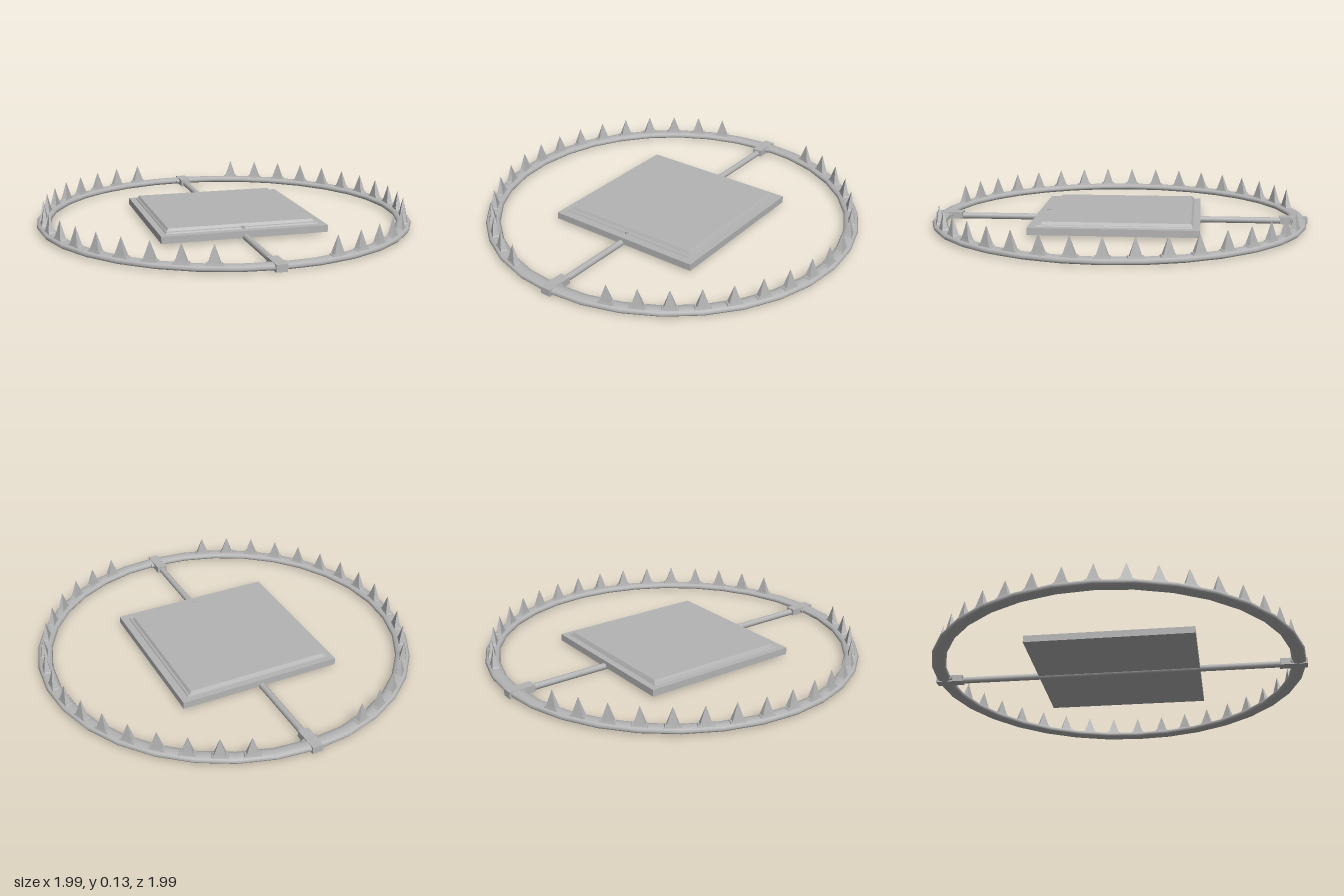
import * as THREE from 'three';

const steel = new THREE.MeshStandardMaterial({ color: 0xb4b4b4 });
steel.name = 'steel';

// Four-sided tapered block: bottom width x depth, top scaled by taper, standing on y = 0
function taperedBlock(width, depth, height, taper) {
  const g = new THREE.CylinderGeometry(Math.SQRT1_2 * taper, Math.SQRT1_2, 1, 4, 1)
    .rotateY(Math.PI / 4)
    .scale(width, height, depth)
    .translate(0, height / 2, 0)
    .toNonIndexed();
  g.computeVertexNormals();
  return g;
}

export function createModel() {
  const model = new THREE.Group();
  model.name = 'jawTrap';

  const add = (parent, name, geometry, x = 0, y = 0, z = 0) => {
    const mesh = new THREE.Mesh(geometry, steel);
    mesh.name = name;
    mesh.position.set(x, y, z);
    parent.add(mesh);
    return mesh;
  };

  // Two flattened half-ring jaws, each with a row of teeth
  const jawGeometry = new THREE.TorusGeometry(0.955, 0.038, 10, 16, Math.PI)
    .rotateZ(-Math.PI / 2)
    .rotateX(Math.PI / 2)
    .scale(1, 0.46, 1);
  const toothGeometry = taperedBlock(0.034, 0.066, 0.1, 0.02);
  const toothFootGeometry = taperedBlock(0.036, 0.084, 0.012, 0.85);

  for (const side of [1, -1]) {
    const jaw = new THREE.Group();
    jaw.name = side > 0 ? 'leftJaw' : 'rightJaw';
    jaw.rotation.y = side > 0 ? 0 : Math.PI;
    add(jaw, 'jawBar', jawGeometry, 0, 0.022, 0);
    for (let i = -8; i <= 8; i++) {
      const tooth = new THREE.Group();
      tooth.name = 'tooth';
      const angle = THREE.MathUtils.degToRad(i * 9);
      tooth.position.set(0.955 * Math.cos(angle), 0.034, -0.955 * Math.sin(angle));
      tooth.rotation.y = angle;
      add(tooth, 'toothSpike', toothGeometry);
      add(tooth, 'toothFoot', toothFootGeometry);
      jaw.add(tooth);
    }
    model.add(jaw);
  }

  // Rod running under the plate between the hinges
  const rodX = -0.005;
  add(model, 'crossRod', new THREE.CylinderGeometry(0.017, 0.017, 1.86, 12).rotateX(Math.PI / 2), rodX, 0.018, 0);

  // Hinges joining the jaw ends
  for (const end of [1, -1]) {
    const hinge = new THREE.Group();
    hinge.name = end > 0 ? 'frontHinge' : 'backHinge';
    add(hinge, 'hingeBlock', new THREE.BoxGeometry(0.056, 0.036, 0.143), rodX, 0.022, end * 0.925);
    add(hinge, 'hingePin', new THREE.CylinderGeometry(0.012, 0.012, 0.09, 10).rotateZ(Math.PI / 2), rodX, 0.022, end * 0.918);
    model.add(hinge);
  }

  // Trigger plate with a low step and a raised bevelled panel
  const plate = new THREE.Group();
  plate.name = 'triggerPlate';
  add(plate, 'plateBase', new THREE.BoxGeometry(0.866, 0.036, 0.866), -0.003, 0.032, 0);
  add(plate, 'plateStep', taperedBlock(0.796, 0.79, 0.007, 0.99), -0.006, 0.05, -0.003);
  add(plate, 'platePanel', taperedBlock(0.775, 0.768, 0.015, 0.975), -0.008, 0.056, -0.013);
  add(plate, 'plateStud', new THREE.CylinderGeometry(0.011, 0.011, 0.012, 12), rodX, 0.056, 0.382);
  model.add(plate);

  return model;
}
